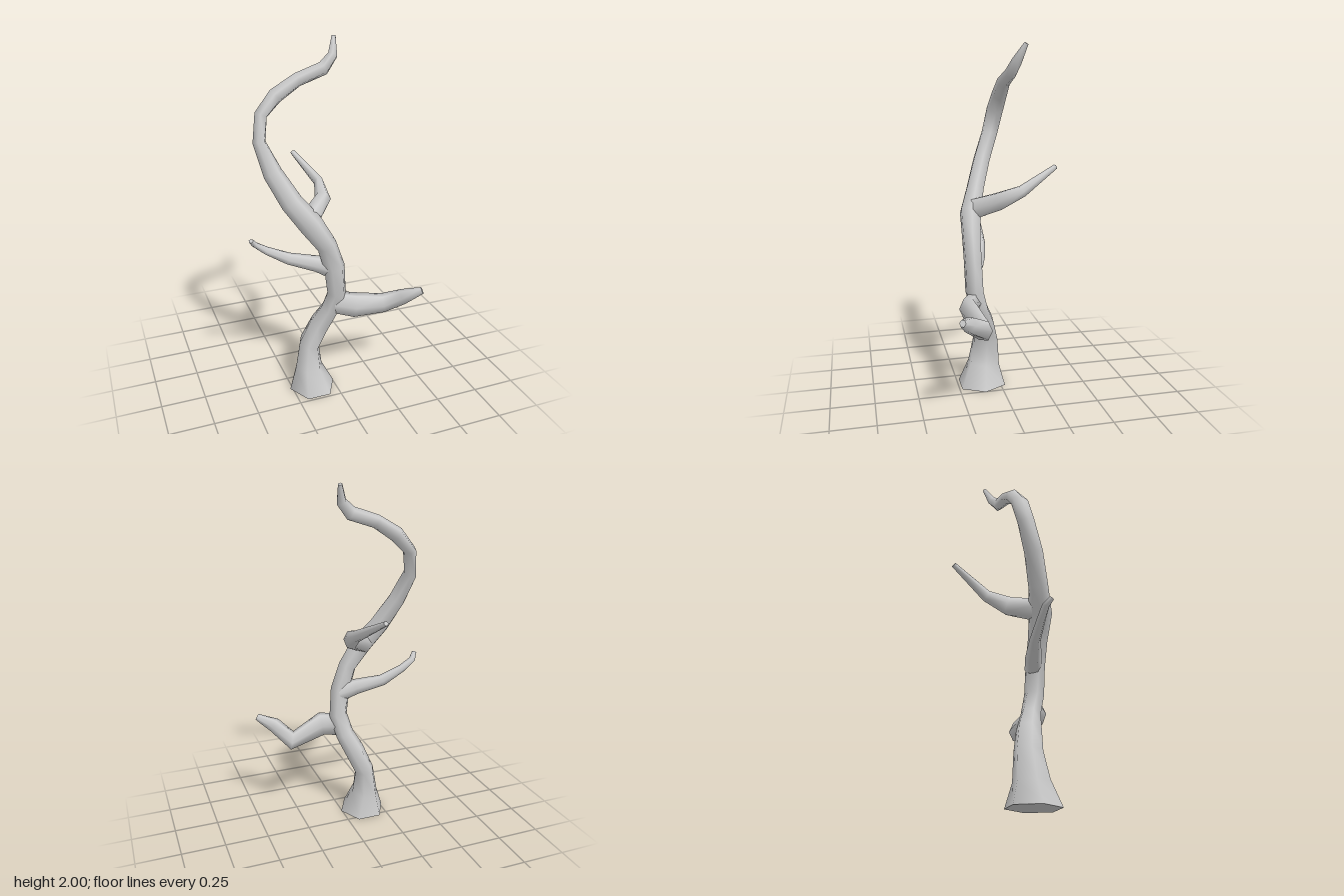
import * as THREE from 'three';

const SIDES = 6;
const material = new THREE.MeshStandardMaterial({ color: 0xcccccc });
const UP = new THREE.Vector3(0, 1, 0);
const FRONT = new THREE.Vector3(0, 0, 1);

// Six-sided tapering limb. Stations: [x, y, z, radius across, radius along ref].
function limb(name, stations, ref, startDir) {
  const centers = stations.map(([x, y, z]) => new THREE.Vector3(x, y, z));
  const last = centers.length - 1;
  const pos = [];
  const index = [];

  centers.forEach((c, i) => {
    const [, , , ra, rb = ra] = stations[i];
    // Direction at a joint is the average of its two segments
    const t = new THREE.Vector3();
    if (i > 0) t.add(c.clone().sub(centers[i - 1]).normalize());
    if (i < last) t.add(centers[i + 1].clone().sub(c).normalize());
    if (i === 0 && startDir) t.copy(startDir);
    t.normalize();
    const n = t.clone().cross(ref).normalize();
    const v = n.clone().cross(t);
    for (let j = 0; j < SIDES; j++) {
      const a = (j / SIDES) * Math.PI * 2;
      const p = c.clone().addScaledVector(n, ra * Math.cos(a)).addScaledVector(v, rb * Math.sin(a));
      pos.push(p.x, p.y, p.z);
    }
  });

  for (let i = 0; i < last; i++) {
    for (let j = 0; j < SIDES; j++) {
      const k = (j + 1) % SIDES;
      const a = i * SIDES + j, b = i * SIDES + k;
      const c = a + SIDES, d = b + SIDES;
      index.push(a, c, d, a, d, b);
    }
  }

  // Flat caps with their own vertices so the rims stay crisp
  for (const ring of [0, last]) {
    const base = pos.length / 3;
    pos.push(...pos.slice(ring * SIDES * 3, (ring + 1) * SIDES * 3));
    for (let j = 1; j < SIDES - 1; j++) {
      if (ring === 0) index.push(base, base + j, base + j + 1);
      else index.push(base, base + j + 1, base + j);
    }
  }

  const geometry = new THREE.BufferGeometry();
  geometry.setAttribute('position', new THREE.Float32BufferAttribute(pos, 3));
  geometry.setIndex(index);
  geometry.computeVertexNormals();
  const mesh = new THREE.Mesh(geometry, material);
  mesh.name = name;
  return mesh;
}

export function createModel() {
  const tree = new THREE.Group();
  tree.name = 'bareTree';

  // Flared trunk sweeping into a hooked crown
  tree.add(limb('trunk', [
    [-0.13, 0, 0.105, 0.135, 0.15],
    [-0.143, 0.13, 0.09, 0.08, 0.1],
    [-0.135, 0.28, 0.08, 0.058, 0.08],
    [-0.08, 0.41, 0.105, 0.06, 0.07],
    [-0.03, 0.51, 0.135, 0.055],
    [0.0, 0.63, 0.168, 0.055],
    [-0.015, 0.79, 0.172, 0.06, 0.053],
    [-0.06, 0.93, 0.172, 0.056, 0.055],
    [-0.145, 1.06, 0.16, 0.066, 0.065],
    [-0.235, 1.18, 0.115, 0.06, 0.055],
    [-0.318, 1.335, 0.06, 0.052, 0.052],
    [-0.368, 1.49, 0.0, 0.035, 0.05],
    [-0.347, 1.625, -0.028, 0.035, 0.052],
    [-0.265, 1.715, -0.037, 0.042, 0.045],
    [-0.145, 1.79, -0.035, 0.037, 0.038],
    [0.0, 1.838, -0.04, 0.038, 0.03],
    [0.06, 1.9, -0.06, 0.028],
    [0.083, 1.99, -0.105, 0.012],
  ], FRONT, UP));

  // Low branch, kinked twice
  tree.add(limb('lowerBranch', [
    [-0.01, 0.565, 0.16, 0.04, 0.07],
    [0.09, 0.56, 0.22, 0.05, 0.075],
    [0.29, 0.505, 0.17, 0.046, 0.058],
    [0.37, 0.578, 0.262, 0.036, 0.046],
    [0.462, 0.625, 0.313, 0.018, 0.02],
  ], UP));

  // Thin branch curling upward
  tree.add(limb('middleBranch', [
    [-0.01, 0.775, 0.165, 0.05, 0.06],
    [-0.1, 0.808, 0.13, 0.045, 0.046],
    [-0.25, 0.845, 0.085, 0.03, 0.034],
    [-0.37, 0.908, 0.074, 0.024, 0.022],
    [-0.435, 0.955, 0.075, 0.024, 0.016],
    [-0.46, 0.99, 0.1, 0.014, 0.012],
  ], UP));

  // Upper branch reaching backward
  tree.add(limb('upperBranch', [
    [-0.15, 1.075, 0.14, 0.055, 0.065],
    [-0.025, 1.14, 0.015, 0.045, 0.055],
    [-0.003, 1.195, -0.11, 0.027, 0.035],
    [-0.082, 1.315, -0.325, 0.016, 0.014],
  ], UP));

  return tree;
}
